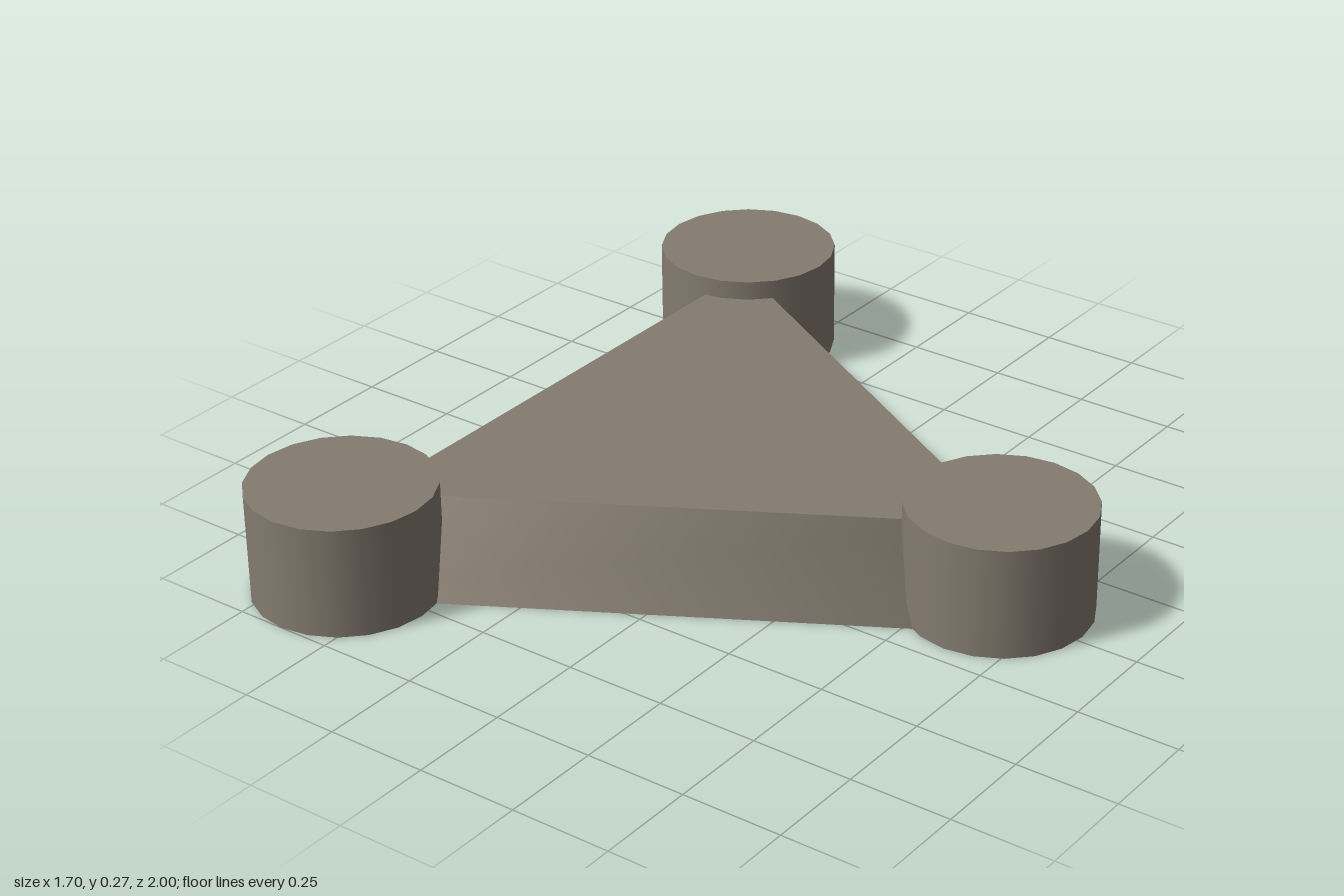
import * as THREE from 'three';

export function createModel() {
  const model = new THREE.Group();
  const stone = new THREE.MeshStandardMaterial({ color: 0x857c70 });
  stone.name = 'warm grey stone';

  // Three-sided tapered slab, one corner pointing along +x, softly shaded sides
  const slabHeight = 0.225;
  const slab = new THREE.Mesh(
    new THREE.CylinderGeometry(0.83, 1.03, slabHeight, 3, 1, false, Math.PI / 2),
    stone
  );
  slab.name = 'taperedSlab';
  slab.position.set(-0.19, slabHeight / 2, -0.01);
  model.add(slab);

  // Round tower at each corner
  const towerHeight = 0.273;
  const towerGeometry = new THREE.CylinderGeometry(0.223, 0.223, towerHeight, 20);
  const corners = {
    backTower: [-0.63, -0.778],
    frontTower: [-0.63, 0.777],
    leftTower: [0.625, -0.02],
  };
  for (const [name, [x, z]] of Object.entries(corners)) {
    const tower = new THREE.Mesh(towerGeometry, stone);
    tower.name = name;
    tower.position.set(x, towerHeight / 2, z);
    model.add(tower);
  }
  return model;
}
